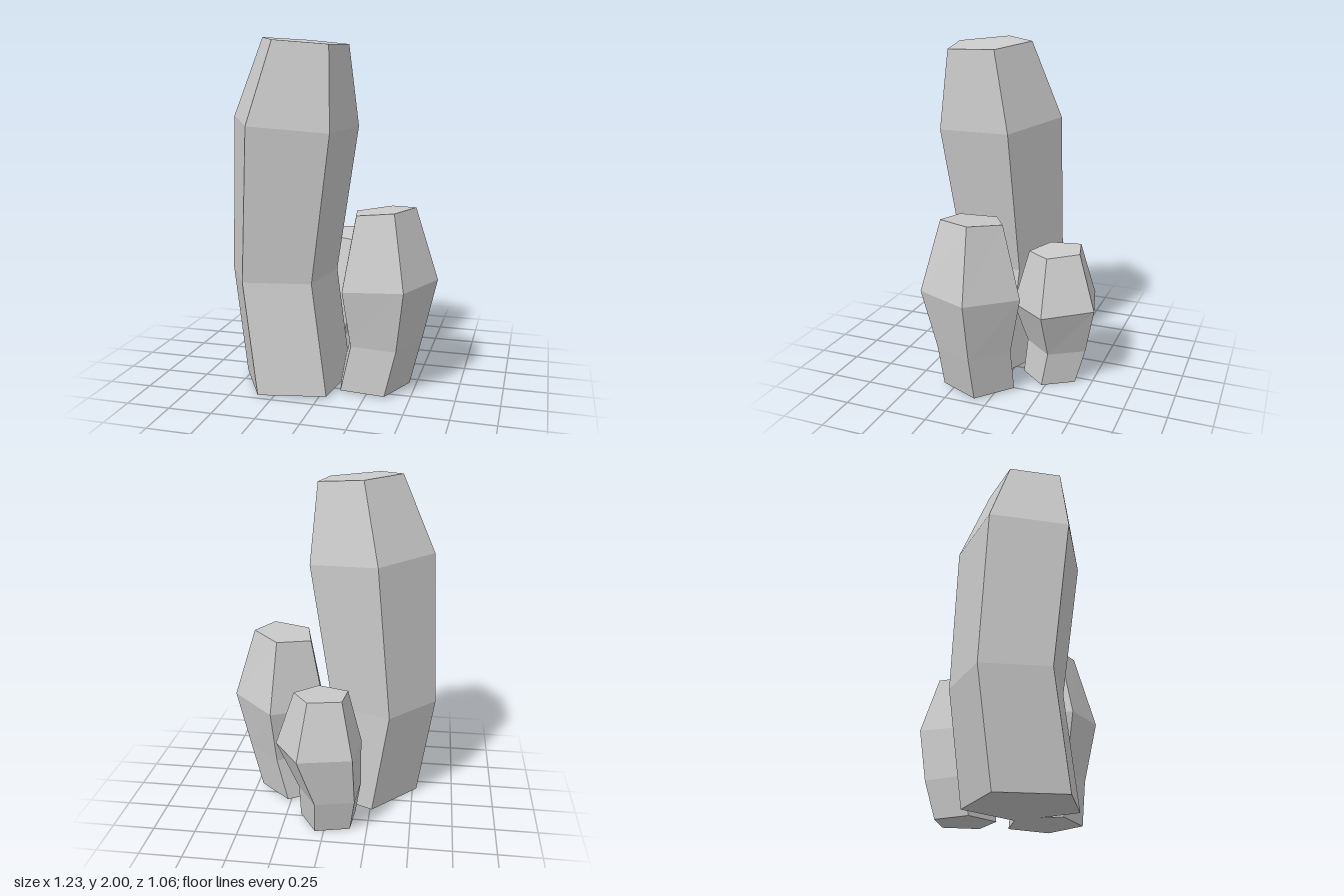
import * as THREE from 'three';

const SIDES = 5;

// Each crystal: a pentagon turned by `angle` degrees, stacked as rings of
// [centreX, y, centreZ, radius, slope along x, slope along z].
const CRYSTALS = [
  {
    name: 'tallCrystal', angle: 186.7, rings: [
      [-0.197, 0.01, 0.18, 0.33, 0, 0],
      [-0.292, 0.648, 0.139, 0.33, -0.008, 0],
      [-0.2, 1.525, 0.184, 0.379, -0.09, -0.035],
      [-0.127, 1.975, 0.216, 0.255, -0.09, -0.04],
    ],
  },
  {
    name: 'mediumCrystal', angle: -12.4, rings: [
      [0.247, 0.01, 0.128, 0.222, 0, 0],
      [0.31, 0.28, 0.13, 0.226, 0, 0],
      [0.323, 0.622, 0.137, 0.299, 0.08, 0.02],
      [0.307, 1.04, 0.136, 0.185, 0.115, 0.02],
    ],
  },
  {
    name: 'smallCrystal', angle: 3.8, rings: [
      [-0.014, 0, -0.239, 0.177, 0, 0],
      [-0.03, 0.21, -0.278, 0.196, 0, 0],
      [0.033, 0.495, -0.283, 0.266, 0, -0.07],
      [0.024, 0.82, -0.271, 0.165, 0, -0.08],
    ],
  },
];

// Faceted column lofted through tilted pentagon rings, closed at both ends
function crystalGeometry(rings, angle) {
  const positions = [];
  const indices = [];
  for (const [cx, y, cz, radius, slopeX, slopeZ] of rings) {
    for (let k = 0; k < SIDES; k++) {
      const a = THREE.MathUtils.degToRad(angle) + (k / SIDES) * Math.PI * 2;
      const dx = Math.cos(a) * radius;
      const dz = Math.sin(a) * radius;
      positions.push(cx + dx, y + slopeX * dx + slopeZ * dz, cz + dz);
    }
  }
  // Side facets
  for (let i = 0; i < rings.length - 1; i++) {
    for (let k = 0; k < SIDES; k++) {
      const a = i * SIDES + k;
      const b = i * SIDES + (k + 1) % SIDES;
      indices.push(a, a + SIDES, b, b, a + SIDES, b + SIDES);
    }
  }
  // Bottom and top caps
  const top = (rings.length - 1) * SIDES;
  for (let k = 1; k < SIDES - 1; k++) {
    indices.push(0, k, k + 1);
    indices.push(top, top + k + 1, top + k);
  }
  const indexed = new THREE.BufferGeometry();
  indexed.setAttribute('position', new THREE.Float32BufferAttribute(positions, 3));
  indexed.setIndex(indices);
  const geometry = indexed.toNonIndexed();
  geometry.computeVertexNormals();
  return geometry;
}

export function createModel() {
  const group = new THREE.Group();
  group.name = 'crystalCluster';
  const material = new THREE.MeshStandardMaterial({ color: 0xcccccc, flatShading: true });
  for (const { name, angle, rings } of CRYSTALS) {
    const mesh = new THREE.Mesh(crystalGeometry(rings, angle), material);
    mesh.name = name;
    group.add(mesh);
  }
  return group;
}
